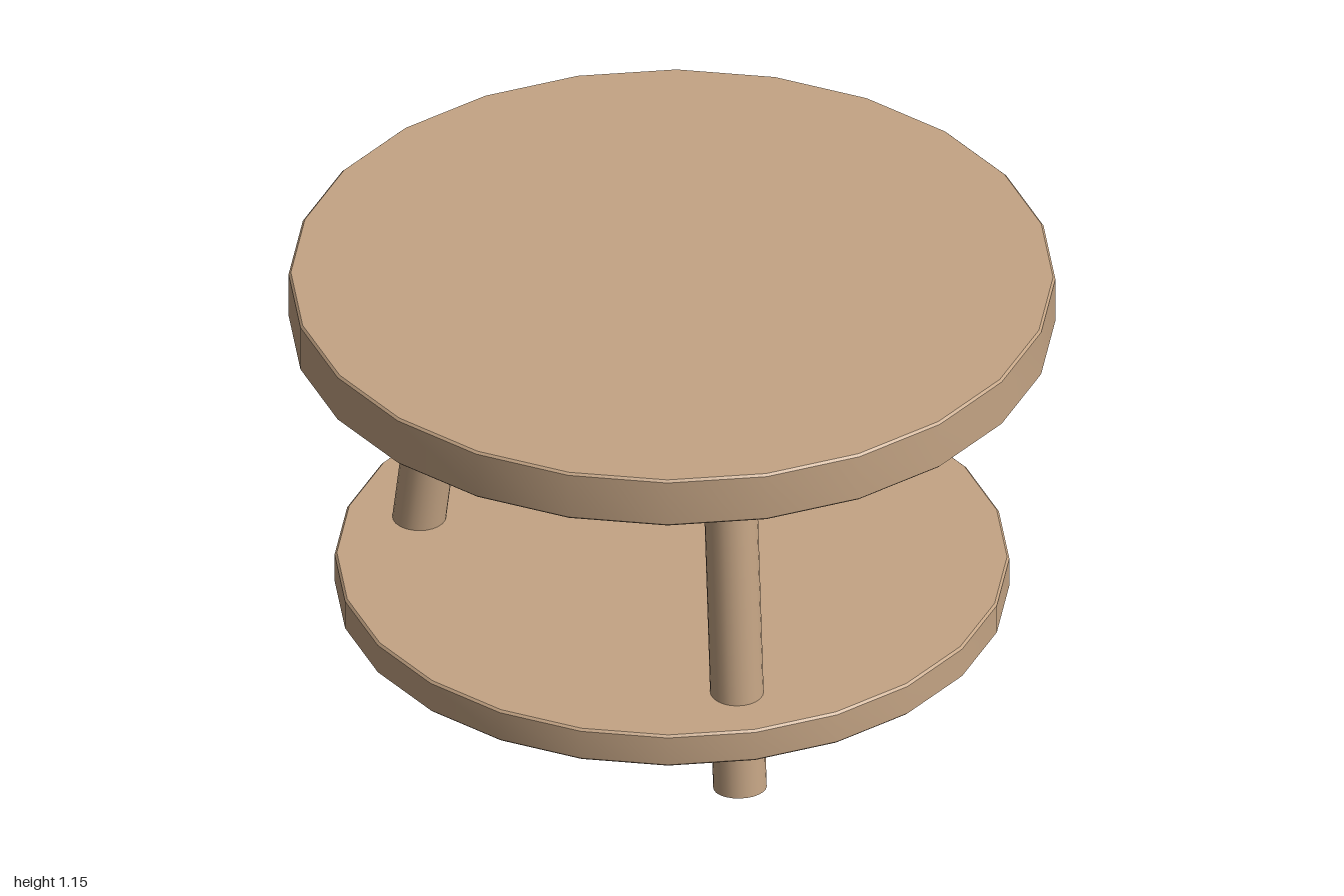
import * as THREE from 'three';
import { toCreasedNormals } from 'three/addons/utils/BufferGeometryUtils.js';

const wood = new THREE.MeshStandardMaterial({ color: 0xc4a484 });
wood.name = 'wood';

// Round board with a fine bevel on both rims
function board(name, radius, bottom, top, bevel = 0.006) {
  const profile = [
    [0, bottom], [radius - bevel, bottom], [radius, bottom + bevel],
    [radius, top - bevel], [radius - bevel, top], [0, top],
  ].map(([x, y]) => new THREE.Vector2(x, y));
  const geometry = toCreasedNormals(new THREE.LatheGeometry(profile, 24), Math.PI / 6);
  const mesh = new THREE.Mesh(geometry, wood);
  mesh.name = name;
  return mesh;
}

// Straight round leg splayed outward in the direction of the given angle
function leg(name, angle) {
  const at = (r, y) => new THREE.Vector3(r * Math.cos(angle), y, r * Math.sin(angle));
  const foot = at(0.717, 0.012);
  const head = at(0.6, 1.007);
  const axis = head.clone().sub(foot);
  const mesh = new THREE.Mesh(new THREE.CylinderGeometry(0.07, 0.07, axis.length(), 24), wood);
  mesh.position.copy(foot).add(head).multiplyScalar(0.5);
  mesh.quaternion.setFromUnitVectors(new THREE.Vector3(0, 1, 0), axis.normalize());
  mesh.name = name;
  return mesh;
}

export function createModel() {
  const model = new THREE.Group();
  model.name = 'roundTable';
  model.add(board('tableTop', 1, 1.012, 1.153));
  model.add(board('lowerShelf', 0.88, 0.192, 0.287));

  // Three legs evenly spaced around the centre
  ['leftLeg', 'frontRightLeg', 'backRightLeg'].forEach((name, i) => {
    model.add(leg(name, (i * Math.PI * 2) / 3));
  });
  return model;
}
